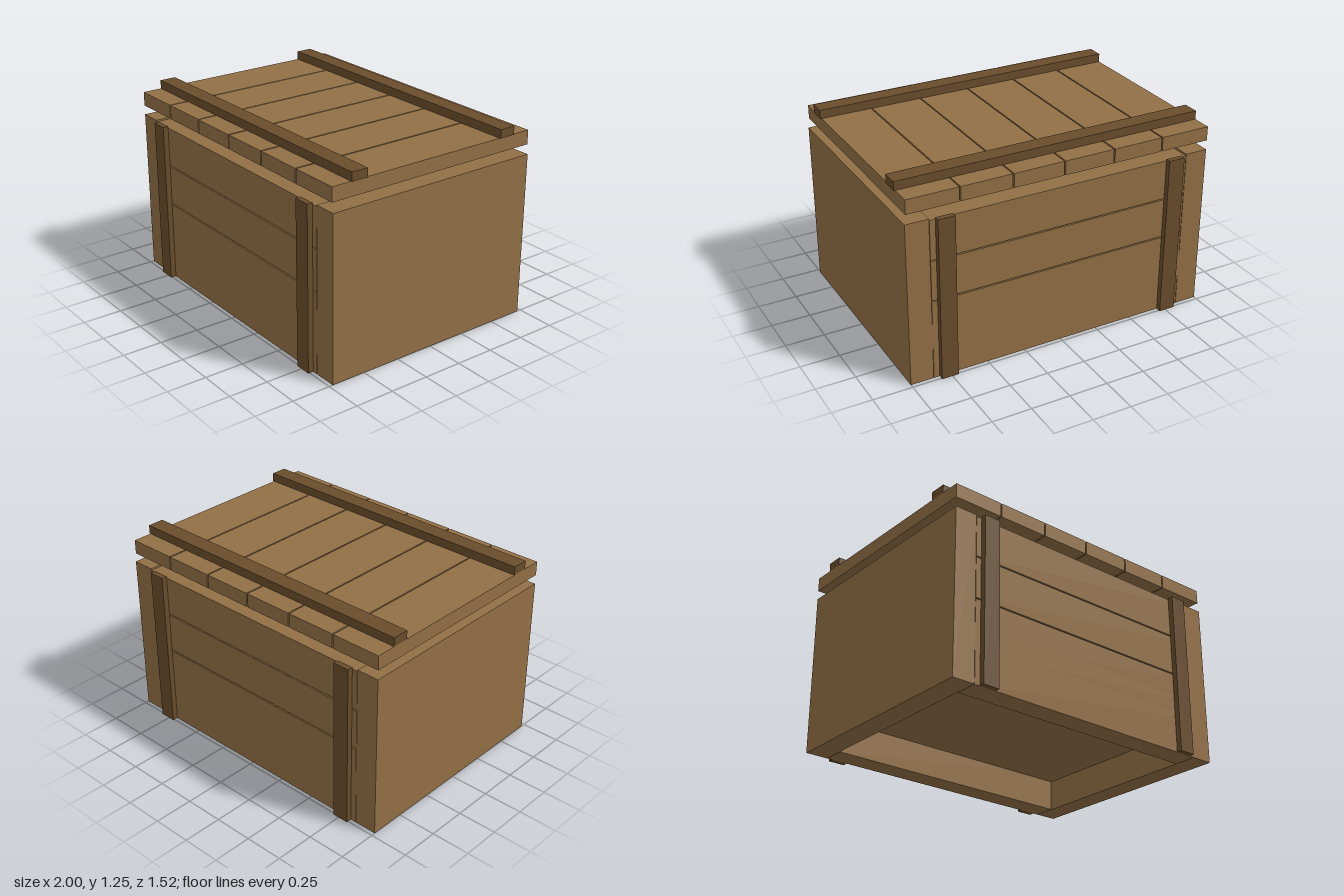
import * as THREE from 'three';

export function createModel() {
  const crate = new THREE.Group();
  crate.name = 'woodenCrate';
  const wood = new THREE.MeshStandardMaterial({ color: 0x926f45 });
  wood.name = 'lightWood';
  const darkWood = new THREE.MeshStandardMaterial({ color: 0x694c2c });
  darkWood.name = 'darkWood';

  // Box given by its extents on each axis
  function board(name, material, [x0, x1], [y0, y1], [z0, z1], parent = crate) {
    const mesh = new THREE.Mesh(new THREE.BoxGeometry(x1 - x0, y1 - y0, z1 - z0), material);
    mesh.position.set((x0 + x1) / 2, (y0 + y1) / 2, (z0 + z1) / 2);
    mesh.name = name;
    parent.add(mesh);
  }
  const span = (centre, size) => [centre - size / 2, centre + size / 2];

  const depth = 0.725;
  const wall = 0.145;

  // Solid end walls and the raised floor
  for (const s of [-1, 1]) {
    board(s > 0 ? 'leftWall' : 'rightWall', wood, span(s * (1 - wall / 2), wall), [0, 1.05], [-depth, depth]);
  }
  board('floor', wood, [-0.855, 0.855], [0.2, 0.37], [-depth, depth]);

  // Front and back: four spaced planks and two upright battens each
  for (const s of [-1, 1]) {
    const side = s > 0 ? 'front' : 'back';
    for (let i = 0; i < 4; i++) {
      const y = i * 0.262;
      board(side + 'Plank', wood, [-0.852, 0.852], [y, y + 0.254], span(s * (depth - wall / 2), wall));
    }
    for (const x of [-0.763, 0.763]) {
      board(side + 'Batten', darkWood, span(x, 0.107), [0, 1.05], span(s * 0.7425, 0.035));
    }
  }

  // Lifted lid: six planks held by two cross battens
  const lid = new THREE.Group();
  lid.name = 'lid';
  crate.add(lid);
  for (let i = 0; i < 6; i++) {
    const x = -1 + i / 3;
    board('lidPlank', wood, [x, x + 0.325], [1.11, 1.2], [-depth, depth], lid);
  }
  for (const z of [-0.545, 0.545]) {
    board('lidBatten', darkWood, [-1, 1], [1.2, 1.255], span(z, 0.107), lid);
  }
  return crate;
}
